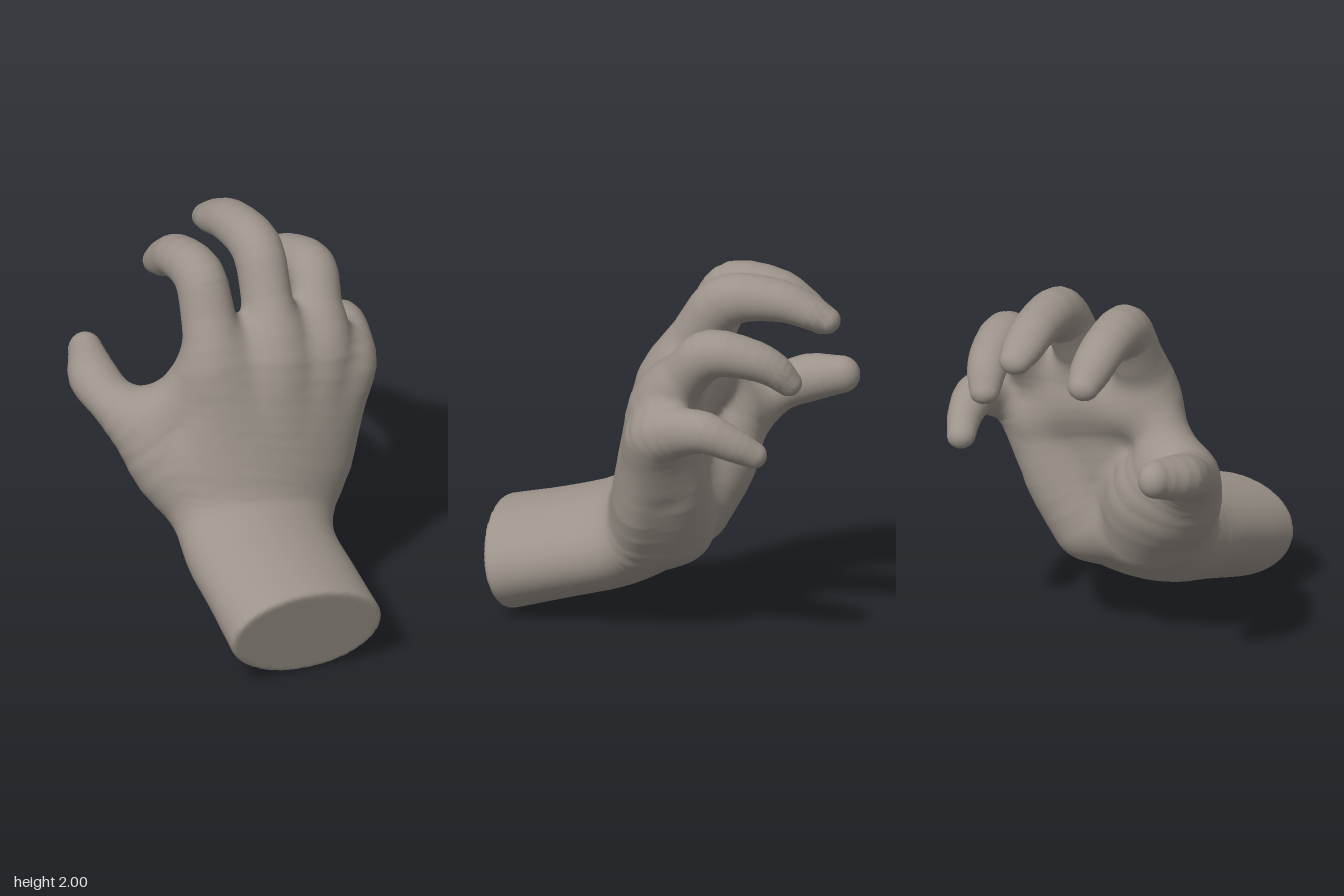
import * as THREE from 'three';

const skin = new THREE.MeshStandardMaterial({ color: 0x9c938a });
skin.name = 'skin';

// Sections of each part: [x, y, z, halfWidth, halfThickness]
const PARTS = {
  forearmAndPalm: {
    axisA: [0.96, -0.08, 0.25], axisB: [0.91, -0.28, 0.30],
    sections: [
      [-0.395, 0.275, 0.855, 0.425, 0.275], [-0.29, 0.37, 0.52, 0.42, 0.26], [-0.21, 0.46, 0.25, 0.42, 0.26],
      [-0.12, 0.59, 0.09, 0.44, 0.26], [-0.01, 0.85, 0.05, 0.50, 0.235], [0.06, 1.10, 0.03, 0.51, 0.21],
      [0.12, 1.33, -0.01, 0.48, 0.18], [0.14, 1.45, -0.06, 0.41, 0.14],
    ],
  },
  // muscle pads of the palm
  thumbPad: { sections: [[-0.20, 0.62, -0.07, 0.24, 0.24], [-0.28, 0.84, -0.19, 0.26, 0.25], [-0.36, 1.03, -0.28, 0.19, 0.19]] },
  littleFingerPad: { sections: [[0.10, 0.60, 0.00, 0.22, 0.22], [0.27, 0.85, 0.01, 0.20, 0.19], [0.37, 1.10, 0.03, 0.17, 0.17]] },
  thumbWeb: { sections: [[-0.27, 1.32, -0.17, 0.14, 0.14], [-0.34, 1.19, -0.23, 0.14, 0.14], [-0.45, 1.06, -0.32, 0.15, 0.15]] },
  fingerBasePad: { axisA: [0, 1, 0], sections: [[-0.17, 1.33, -0.17, 0.16, 0.14], [0.10, 1.31, -0.10, 0.16, 0.13], [0.38, 1.20, -0.01, 0.14, 0.13]] },
  // fingers, each from inside the palm to the tip
  thumb: {
    sections: [
      [-0.33, 0.64, -0.04, 0.19, 0.19], [-0.42, 0.82, -0.20, 0.21, 0.21], [-0.50, 1.02, -0.36, 0.17, 0.17],
      [-0.55, 1.12, -0.55, 0.13, 0.12], [-0.54, 1.18, -0.70, 0.13, 0.125], [-0.45, 1.23, -0.87, 0.09, 0.10],
    ],
  },
  indexFinger: {
    sections: [
      [-0.17, 1.10, -0.03, 0.15, 0.14], [-0.21, 1.40, -0.10, 0.165, 0.16], [-0.18, 1.62, -0.20, 0.14, 0.145],
      [-0.15, 1.81, -0.31, 0.13, 0.135], [-0.10, 1.81, -0.55, 0.12, 0.11], [-0.06, 1.73, -0.68, 0.11, 0.10],
      [-0.04, 1.67, -0.77, 0.085, 0.075],
    ],
  },
  middleFinger: {
    sections: [
      [0.05, 1.08, 0.07, 0.15, 0.13], [0.09, 1.38, 0.03, 0.165, 0.155], [0.15, 1.64, -0.12, 0.13, 0.14],
      [0.21, 1.86, -0.27, 0.13, 0.135], [0.27, 1.88, -0.56, 0.12, 0.11], [0.30, 1.83, -0.71, 0.11, 0.09],
      [0.32, 1.79, -0.80, 0.085, 0.07],
    ],
  },
  ringFinger: {
    sections: [
      [0.25, 1.06, 0.09, 0.14, 0.12], [0.35, 1.34, 0.07, 0.155, 0.15], [0.44, 1.53, -0.06, 0.13, 0.13],
      [0.51, 1.67, -0.19, 0.13, 0.125], [0.54, 1.645, -0.42, 0.115, 0.105], [0.54, 1.59, -0.53, 0.10, 0.09],
      [0.53, 1.52, -0.60, 0.08, 0.07],
    ],
  },
  littleFinger: {
    sections: [
      [0.39, 0.98, 0.08, 0.14, 0.13], [0.53, 1.21, 0.09, 0.14, 0.15], [0.63, 1.28, -0.03, 0.115, 0.13],
      [0.69, 1.30, -0.16, 0.11, 0.11], [0.71, 1.24, -0.31, 0.09, 0.09], [0.70, 1.18, -0.42, 0.075, 0.07],
    ],
  },
};

// Signed distance to a chain of elliptical sections swept along a smooth path
function sweptField({ sections, axisA = [1, 0, 0], axisB = axisA }) {
  const path = new THREE.CatmullRomCurve3(sections.map(s => new THREE.Vector3(...s.slice(0, 3))));
  const size = new THREE.CatmullRomCurve3(sections.map(s => new THREE.Vector3(s[3], s[4], 0)), false, 'catmullrom', 0.4);
  const n = (sections.length - 1) * 3, stations = [];
  const box = new THREE.Box3();
  for (let i = 0; i <= n; i++) {
    const u = i / n, c = path.getPoint(u), T = path.getTangent(u), r = size.getPoint(u);
    const W = new THREE.Vector3(...axisA).lerp(new THREE.Vector3(...axisB), u);
    W.addScaledVector(T, -W.dot(T)).normalize();
    stations.push({ c, W, N: T.clone().cross(W), w: r.x, h: r.y });
    box.expandByPoint(c.clone().addScalar(r.x)).expandByPoint(c.clone().addScalar(-r.x));
  }
  const p = new THREE.Vector3();
  return (x, y, z) => {
    const far = box.distanceToPoint(p.set(x, y, z));
    if (far > 0.15) return far;
    let best = Infinity;
    for (let i = 0; i < n; i++) {
      const a = stations[i], b = stations[i + 1];
      const dx = b.c.x - a.c.x, dy = b.c.y - a.c.y, dz = b.c.z - a.c.z, L2 = dx * dx + dy * dy + dz * dz;
      const t = Math.min(1, Math.max(0, ((x - a.c.x) * dx + (y - a.c.y) * dy + (z - a.c.z) * dz) / L2)), s = 1 - t;
      const qx = x - a.c.x - dx * t, qy = y - a.c.y - dy * t, qz = z - a.c.z - dz * t;
      const w = a.w * s + b.w * t, h = a.h * s + b.h * t;
      const e = (qx * (a.W.x * s + b.W.x * t) + qy * (a.W.y * s + b.W.y * t) + qz * (a.W.z * s + b.W.z * t)) / w;
      const f = (qx * (a.N.x * s + b.N.x * t) + qy * (a.N.y * s + b.N.y * t) + qz * (a.N.z * s + b.N.z * t)) / h;
      const g = (qx * dx + qy * dy + qz * dz) / Math.sqrt(L2) / h;
      const k0 = Math.sqrt(e * e + f * f + g * g), k1 = Math.sqrt(e * e / (w * w) + (f * f + g * g) / (h * h));
      best = Math.min(best, k1 < 1e-6 ? -h : k0 * (k0 - 1) / k1);
    }
    return best;
  };
}

const smoothMin = (a, b, k) => Math.min(a, b) - Math.max(k - Math.abs(a - b), 0) ** 2 / (4 * k);

export function createModel() {
  const hand = new THREE.Group();
  hand.name = 'hand';
  const names = Object.keys(PARTS), fields = names.map(name => sweptField(PARTS[name]));

  // all parts melted together, with the forearm cut off flat
  const [start, next] = PARTS.forearmAndPalm.sections.map(s => new THREE.Vector3(...s.slice(0, 3)));
  const cut = start.clone().sub(next).normalize(), cutAt = cut.dot(start);
  const field = (x, y, z) => {
    let d = 1;
    for (const f of fields) d = smoothMin(d, f(x, y, z), 0.08);
    return -smoothMin(-d, cutAt - cut.x * x - cut.y * y - cut.z * z, 0.03);
  };
  const gradient = (p, e) => new THREE.Vector3(
    field(p.x + e, p.y, p.z) - field(p.x - e, p.y, p.z),
    field(p.x, p.y + e, p.z) - field(p.x, p.y - e, p.z),
    field(p.x, p.y, p.z + e) - field(p.x, p.y, p.z - e)).normalize();

  // sample the field on a grid
  const cell = 0.023, origin = [-0.95, -0.1, -1.08], count = [83, 97, 95];
  const stride = [1, count[0], count[0] * count[1]];
  const values = new Float32Array(stride[2] * count[2]);
  const eachNode = visit => {
    for (let k = 0; k < count[2] - 1; k++) for (let j = 0; j < count[1] - 1; j++) for (let i = 0; i < count[0] - 1; i++) {
      visit(i + j * stride[1] + k * stride[2], origin[0] + i * cell, origin[1] + j * cell, origin[2] + k * cell);
    }
  };
  values.fill(1);
  eachNode((v, x, y, z) => { values[v] = field(x, y, z); });

  // one vertex in every cell the surface crosses, pulled onto the surface
  const vertices = new Map();
  eachNode((v, x, y, z) => {
    const corner = c => values[v + (c & 1) + (c >> 1 & 1) * stride[1] + (c >> 2) * stride[2]];
    const p = new THREE.Vector3();
    let hits = 0;
    for (let c = 0; c < 8; c++) for (const bit of [1, 2, 4]) {
      if (c & bit) continue;
      const a = corner(c), b = corner(c | bit);
      if ((a < 0) === (b < 0)) continue;
      const t = a / (a - b);
      p.x += (c & 1) + (bit === 1 ? t : 0);
      p.y += (c >> 1 & 1) + (bit === 2 ? t : 0);
      p.z += (c >> 2) + (bit === 4 ? t : 0);
      hits++;
    }
    if (!hits) return;
    p.multiplyScalar(cell / hits).add(new THREE.Vector3(x, y, z));
    p.addScaledVector(gradient(p, 0.004), -field(p.x, p.y, p.z));
    const d = fields.map(f => f(p.x, p.y, p.z));
    vertices.set(v, { p, normal: gradient(p, 0.012), part: d.indexOf(Math.min(...d)) });
  });

  // faces around every crossed grid edge, sorted by the part they belong to
  const parts = names.map(() => ({ pos: [], normal: [], index: [], used: new Map() }));
  eachNode(v => {
    for (let a = 0; a < 3; a++) {
      const inside = values[v] < 0;
      if (inside === (values[v + stride[a]] < 0)) continue;
      const su = stride[(a + 1) % 3], sw = stride[(a + 2) % 3];
      const quad = [v - su - sw, v - sw, v, v - su];
      if (!inside) quad.reverse();
      const part = parts[vertices.get(v).part];
      const id = quad.map(q => {
        if (!part.used.has(q)) {
          const { p, normal } = vertices.get(q);
          part.used.set(q, part.used.size);
          part.pos.push(...p.toArray());
          part.normal.push(...normal.toArray());
        }
        return part.used.get(q);
      });
      part.index.push(id[0], id[1], id[2], id[0], id[2], id[3]);
    }
  });
  parts.forEach(({ pos, normal, index }, i) => {
    if (!index.length) return;
    const g = new THREE.BufferGeometry();
    g.setAttribute('position', new THREE.Float32BufferAttribute(pos, 3));
    g.setAttribute('normal', new THREE.Float32BufferAttribute(normal, 3));
    g.setIndex(index);
    const mesh = new THREE.Mesh(g, skin);
    mesh.name = names[i];
    hand.add(mesh);
  });
  return hand;
}
